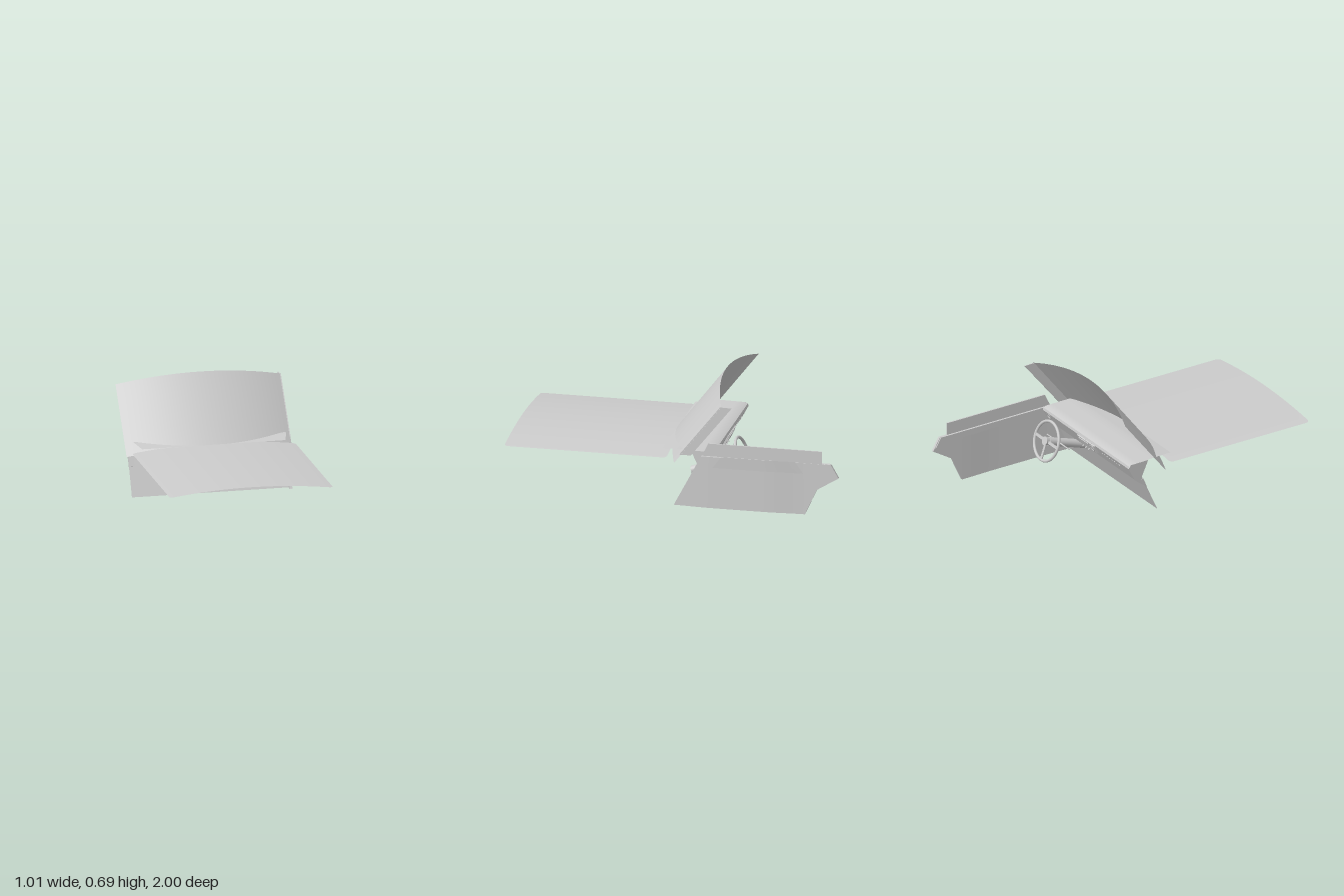
import * as THREE from 'three';
import { toCreasedNormals } from 'three/addons/utils/BufferGeometryUtils.js';
import { ParametricGeometry } from 'three/addons/geometries/ParametricGeometry.js';

const grey = new THREE.MeshStandardMaterial({ color: 0xcccccc, side: THREE.DoubleSide });

export function createModel() {
  const model = new THREE.Group();

  function add(name, geometry, parent = model) {
    const mesh = new THREE.Mesh(geometry, grey);
    mesh.name = name;
    parent.add(mesh);
    return mesh;
  }

  function box(name, w, h, d, x, y, z, parent = model) {
    const mesh = add(name, new THREE.BoxGeometry(w, h, d), parent);
    mesh.position.set(x, y, z);
    return mesh;
  }

  // Surface from a rule of u and v that returns [x, y, z]
  function surface(name, rule, slices, stacks) {
    const g = new ParametricGeometry((u, v, p) => p.set(...rule(u, v)), slices, stacks);
    return add(name, toCreasedNormals(g, 0.5));
  }

  // Upright plate from a [z, y] outline, its outer face at x
  function plate(name, x, outline, depth) {
    const shape = new THREE.Shape(outline.map(([z, y]) => new THREE.Vector2(z, y)));
    const g = new THREE.ExtrudeGeometry(shape, { depth, bevelEnabled: false });
    g.rotateY(-Math.PI / 2);
    add(name, g).position.x = x;
  }

  // Linear interpolation through a list of equal-length rows
  function along(rows, t) {
    const s = t * (rows.length - 1);
    const i = Math.min(Math.floor(s + 1e-9), rows.length - 2);
    return rows[i].map((a, k) => a + (rows[i + 1][k] - a) * (s - i));
  }

  // Crowned bonnet with rounded corners
  surface('bonnet', (u, v) => {
    const z = 0.515 - 0.485 * Math.cos(Math.PI * v);
    const r = 0.025;
    const d = Math.max(0, r - (0.485 - Math.abs(z - 0.515)));
    const half = 0.49 - r + Math.sqrt(Math.max(0, r * r - d * d));
    const t = u * 2 - 1;
    const s = t * half / 0.49;
    return [0.007 + t * half, 0.323 - 0.034 * s * s, z];
  }, 24, 40);

  // Raked, curved windscreen
  surface('windscreen', (u, v) => {
    const t = u * 2 - 1;
    const bottom = [0.32 - 0.063 * t * t, 0.07 - 0.085 * t * t];
    const top = [0.69 - 0.069 * t * t, -0.215 - 0.083 * t * t];
    return [-0.009 + 0.496 * t,
      bottom[0] + (top[0] - bottom[0]) * v, bottom[1] + (top[1] - bottom[1]) * v];
  }, 32, 4);

  // Pillar strip behind the left edge of the windscreen
  plate('windscreenPillar', 0.486, [[-0.29, 0.62], [-0.36, 0.618], [-0.115, 0.31], [-0.045, 0.31]], 0.006);

  // Dashboard shell, open at the front: half width, y, z from cowl to lower lip
  const dash = [
    [0.43, 0.322, 0.065], [0.457, 0.336, -0.04], [0.46, 0.332, -0.225],
    [0.46, 0.325, -0.243], [0.46, 0.31, -0.247], [0.455, 0.225, -0.2], [0.455, 0.232, -0.155],
  ];
  surface('dashboard', (u, v) => {
    const [half, y, z] = along(dash, v);
    return [(u * 2 - 1) * half, y, z];
  }, 8, 24);

  for (const side of [-1, 1]) {
    plate('dashboardEnd', side * 0.458 + 0.003, [[-0.12, 0.16], [-0.2, 0.222], [-0.247, 0.31],
      [-0.23, 0.331], [-0.11, 0.333], [-0.155, 0.235]], 0.006);
    box('dashboardBracket', 0.035, 0.065, 0.012, side * 0.447, 0.193, -0.14).rotation.x = -0.42;
  }

  // Sloping bulkhead
  surface('bulkhead', (u, v) => [-0.465 + 0.94 * u, 0.235 * v, -0.05 - 0.106 * v], 1, 1);

  // Centre console with gauge, screen and knobs, leaning with the dashboard face
  const centre = new THREE.Group();
  centre.name = 'centreConsole';
  centre.position.set(-0.008, 0.288, -0.226);
  centre.rotation.x = -0.42;
  model.add(centre);
  box('consoleBody', 0.185, 0.056, 0.035, 0, 0, 0, centre);
  box('consoleScreen', 0.1, 0.04, 0.006, 0.025, 0, -0.019, centre);
  const gauge = add('consoleGauge', new THREE.TorusGeometry(0.02, 0.003, 8, 24), centre);
  gauge.position.set(-0.057, 0, -0.018);
  box('consoleLower', 0.085, 0.022, 0.03, 0.03, -0.038, 0, centre);
  for (const x of [0, 0.03, 0.06]) {
    const knob = add('consoleKnob', new THREE.CylinderGeometry(0.005, 0.005, 0.012, 12), centre);
    knob.rotation.x = Math.PI / 2;
    knob.position.set(x, -0.038, -0.02);
  }

  // Small switches on the passenger side and an air vent by the door
  for (let i = 0; i < 8; i++) {
    box('dashboardSwitch', 0.01, 0.006, 0.006, -0.16 - 0.026 * i, 0.282, -0.232).rotation.x = -0.42;
  }
  const vent = add('airVent', new THREE.TorusGeometry(0.018, 0.003, 8, 20));
  vent.position.set(0.415, 0.285, -0.234);
  vent.rotation.x = -0.42;

  // Steering assembly, local -z points along the column to the driver
  const steering = new THREE.Group();
  steering.name = 'steering';
  steering.position.set(0.23, 0.237, -0.37);
  steering.rotation.x = 0.33;
  model.add(steering);
  add('steeringWheelRim', new THREE.TorusGeometry(0.118, 0.009, 10, 48), steering);
  const hub = add('steeringWheelHub', new THREE.CylinderGeometry(0.026, 0.022, 0.03, 24), steering);
  hub.rotation.x = -Math.PI / 2;
  const column = add('steeringColumn', new THREE.CylinderGeometry(0.025, 0.025, 0.31, 24), steering);
  column.rotation.x = Math.PI / 2;
  column.position.z = 0.168;
  for (const angle of [0, Math.PI, -Math.PI / 2]) {
    const spoke = box('steeringWheelSpoke', 0.1, 0.016, 0.008,
      0.066 * Math.cos(angle), 0.066 * Math.sin(angle), 0, steering);
    spoke.rotation.z = angle;
  }
  for (const side of [-1, 1]) {
    const stalk = add('columnStalk', new THREE.CylinderGeometry(0.005, 0.003, 0.1, 10), steering);
    stalk.rotation.z = side * Math.PI / 2;
    stalk.position.set(side * 0.07, 0, 0.085);
  }

  // Door panel: z, lower y, upper y at each station, closed around its thickness
  const door = [
    [-0.015, 0, 0.002], [-0.18, 0, 0.315], [-0.5, 0, 0.315], [-0.8, 0, 0.315],
    [-0.87, 0.155, 0.315], [-0.955, 0.208, 0.315], [-1, 0.235, 0.237],
  ];
  const loop = [[0, 0], [0, 1], [1, 1], [1, 0], [0, 0]];
  const bulge = (z) => 0.012 * THREE.MathUtils.smoothstep(z, -0.8, -0.55)
    * (1 - THREE.MathUtils.smoothstep(z, -0.25, 0));
  surface('doorPanel', (u, v) => {
    const [z, low, high] = along(door, u);
    const [outer, h] = along(loop, v);
    return [0.474 + bulge(z) * (0.4 + 0.6 * outer) + 0.016 * outer, low + (high - low) * h, z];
  }, 48, 24);

  // Upper door plate and the padded rail inside it
  plate('doorUpperPlate', 0.488, [[-0.18, 0.31], [-0.22, 0.392], [-0.9, 0.392], [-0.9, 0.31]], 0.008);
  plate('doorRail', 0.48, [[-0.2, 0.285], [-0.2, 0.318], [-0.95, 0.316], [-0.985, 0.255], [-0.93, 0.275]], 0.012);

  // Shallow raised panel on the outer skin
  surface('doorRaisedPanel', (u, v) => {
    const z = (-0.3 - 0.44 * u) + (1 - v) * 0.05 * (1 - 2 * u);
    return [0.491 + bulge(z) + 0.003 * v, 0.25 + 0.07 * v, z];
  }, 16, 2);

  return model;
}
